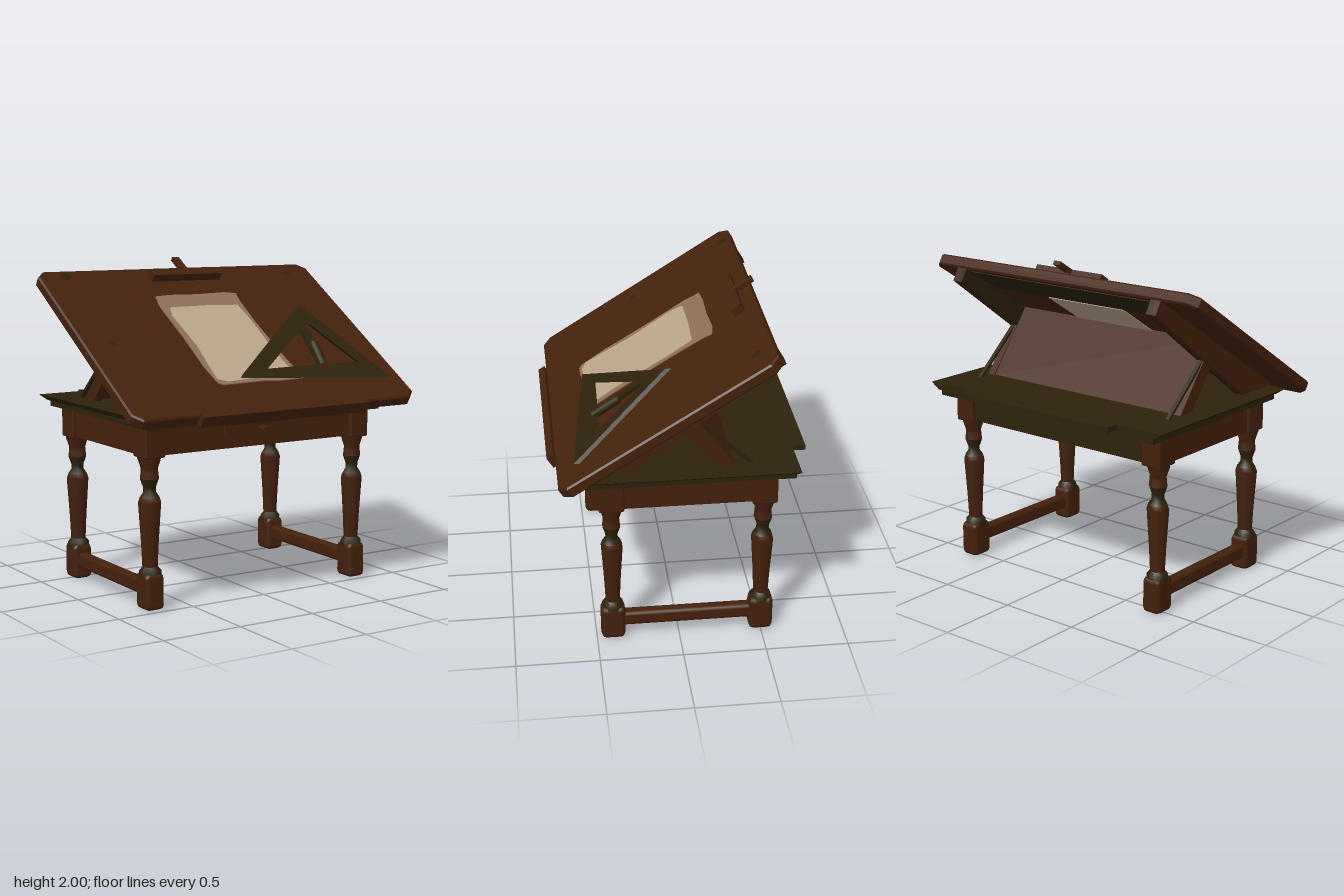
import * as THREE from 'three';
import { RoundedBoxGeometry } from 'three/addons/geometries/RoundedBoxGeometry.js';

const mat = (name, color) => {
  const m = new THREE.MeshStandardMaterial({ color });
  m.name = name;
  return m;
};

export function createModel() {
  const wood = mat('brown wood', 0x44210c);
  const olive = mat('olive wood', 0x2c220b);
  const sheet = mat('paper', 0xb9a489);
  const edge = mat('paper border', 0x8d6e58);
  const model = new THREE.Group();
  model.name = 'draftingTable';

  const add = (parent, name, geo, material, x = 0, y = 0, z = 0) => {
    const m = new THREE.Mesh(geo, material);
    m.name = name;
    m.position.set(x, y, z);
    parent.add(m);
    return m;
  };
  const box = (parent, name, material, w, h, d, x, y, z) =>
    add(parent, name, new THREE.BoxGeometry(w, h, d), material, x, y, z);
  const poly = (pts) => new THREE.Shape(pts.map(([x, y]) => new THREE.Vector2(x, y)));
  // Extrudes an outline given in (z, y) across the width
  const sidePiece = (name, pts, width, x, material) => {
    const g = new THREE.ExtrudeGeometry(poly(pts), { depth: width, bevelEnabled: false });
    g.translate(0, 0, -width / 2).rotateY(-Math.PI / 2);
    return add(model, name, g, material, x);
  };
  const turned = (pts) =>
    new THREE.LatheGeometry(pts.map(([r, y]) => new THREE.Vector2(r, y)), 8, Math.PI / 8);

  // Legs: square blocks joined by a turned shaft
  const makeLeg = (x, z) => {
    const leg = new THREE.Group();
    leg.name = 'leg';
    leg.position.set(x, 0, z);
    model.add(leg);
    add(leg, 'footBlock', new RoundedBoxGeometry(0.125, 0.22, 0.145, 1, 0.03), wood, 0, 0.115, 0);
    add(leg, 'topBlock', new RoundedBoxGeometry(0.135, 0.19, 0.15, 1, 0.01), wood, 0, 1.0, 0);
    add(leg, 'footCollar', turned([[0.066, 0.2], [0.066, 0.235], [0.045, 0.26]]), olive);
    add(leg, 'shaft', turned([[0.045, 0.25], [0.052, 0.4], [0.068, 0.64], [0.058, 0.67]]), wood);
    add(leg, 'neck', turned([[0.058, 0.67], [0.038, 0.7], [0.038, 0.73], [0.056, 0.78]]), olive);
    add(leg, 'shoulder', turned([[0.056, 0.78], [0.052, 0.815], [0.05, 0.84], [0.07, 0.9], [0.07, 0.93]]), wood);
  };
  for (const s of [1, -1]) {
    for (const z of [0.4, -0.5]) makeLeg(s * 0.735, z);
    // Stretchers and aprons on each end
    add(model, 'stretcher', new RoundedBoxGeometry(0.075, 0.09, 0.8, 1, 0.02), wood, s * 0.735, 0.125, -0.05);
    box(model, 'sideApron', wood, 0.06, 0.18, 0.8, s * 0.75, 1.005, -0.05);
    box(model, 'sideApronLining', olive, 0.008, 0.17, 0.76, s * 0.717, 1.005, -0.05);
  }
  box(model, 'frontApron', wood, 1.36, 0.18, 0.05, 0, 1.005, 0.42);
  box(model, 'frontApronLining', olive, 1.36, 0.17, 0.008, 0, 1.005, 0.392);
  box(model, 'backApron', olive, 1.36, 0.18, 0.05, 0, 1.005, -0.52);

  // Drawer front and knob
  box(model, 'drawerFront', wood, 0.52, 0.1, 0.02, 0.01, 1.03, 0.45);
  const knob = add(model, 'drawerKnob', new THREE.CylinderGeometry(0.028, 0.016, 0.08, 8), wood, 0, 1.02, 0.495);
  knob.rotation.x = Math.PI / 2;

  // Table top, narrowing towards the underside
  const top = new THREE.BoxGeometry(1.8, 0.04, 1.25);
  const tp = top.attributes.position;
  for (let i = 0; i < tp.count; i++) if (tp.getY(i) < 0) tp.setX(i, tp.getX(i) * 0.935);
  top.computeVertexNormals();
  add(model, 'tableTop', top, olive, 0, 1.14, -0.065);
  box(model, 'tableTopUnderside', olive, 1.66, 0.04, 1.22, 0, 1.105, -0.065);
  box(model, 'rearExtension', olive, 1.16, 0.03, 0.1, 0, 1.143, -0.72);

  // Rails, struts and stays below the tilted board
  const railOutline = [[-0.55, 1.875], [-0.595, 1.8], [0.286, 1.155], [0.59, 1.155], [0.55, 1.19]];
  const strutOutline = [[-0.03, 1.4], [-0.106, 1.445], [-0.33, 1.155], [-0.22, 1.155]];
  for (const s of [1, -1]) {
    sidePiece('boardRail', railOutline, 0.04, s * 0.76, wood);
    sidePiece('boardRailInner', railOutline, 0.03, s * 0.725, olive);
    sidePiece('strut', strutOutline, 0.05, s * 0.735, wood);
    sidePiece('stay', [[-0.09, 1.44], [-0.105, 1.45], [-0.435, 1.155], [-0.41, 1.155]], 0.025, s * 0.74, olive);
  }
  // Hinged panel between the struts, reaching up to the board
  sidePiece('propPanel', [[0.0, 1.54], [-0.025, 1.55], [-0.32, 1.155], [-0.29, 1.155]], 1.42, 0, wood);

  // Tilted drawing board: local y runs up the slope, local z leaves the face
  const board = new THREE.Group();
  board.name = 'drawingBoard';
  board.position.set(0, 1.525, 0.08);
  board.rotation.x = -THREE.MathUtils.degToRad(58);
  model.add(board);
  const W = 0.99, H = 0.714, c = 0.05;
  const panel = new THREE.ExtrudeGeometry(
    poly([[-W + c, -H], [W - c, -H], [W, -H + c], [W, H - c], [W - c, H], [-W + c, H], [-W, H - c], [-W, -H + c]]),
    { depth: 0.05, bevelThickness: 0.01, bevelSize: 0.01, bevelSegments: 1 });
  panel.translate(0, 0, -0.025);
  add(board, 'boardPanel', panel, wood);
  box(board, 'pencilLedge', wood, 1.17, 0.045, 0.075, 0, -0.742, 0.018);

  // Worn paper with a paler middle
  const plate = (name, pts, material, z) =>
    add(board, name, new THREE.ExtrudeGeometry(poly(pts), { depth: 0.006, bevelEnabled: false }), material, 0, 0, z);
  plate('paperBorder', [[-0.32, -0.46], [-0.29, -0.48], [0.0, -0.47], [0.1, -0.48], [0.28, -0.475], [0.265, -0.2],
    [0.26, 0.1], [0.27, 0.33], [0.285, 0.41], [0.2, 0.425], [0.0, 0.415], [-0.2, 0.42], [-0.31, 0.41],
    [-0.33, 0.3], [-0.325, 0.0], [-0.335, -0.3]], edge, 0.036);
  plate('paperSheet', [[-0.31, -0.43], [-0.25, -0.46], [-0.05, -0.445], [0.18, -0.455], [0.24, -0.43], [0.225, -0.2],
    [0.235, 0.1], [0.225, 0.28], [0.0, 0.29], [-0.27, 0.285], [-0.295, 0.2], [-0.28, -0.1], [-0.3, -0.3]],
  sheet, 0.04);

  // Darker lining and paper on the underside
  box(board, 'boardLining', olive, 1.4, 0.26, 0.006, 0, 0.55, -0.036);
  box(board, 'paperBack', sheet, 0.58, 0.9, 0.006, -0.03, -0.02, -0.04);

  // Wood knots
  for (const [x, y, r] of [[-0.82, -0.02, 0.025], [0.8, 0.61, 0.028], [-0.82, 0.66, 0.04]])
    add(board, 'knot', new THREE.CircleGeometry(r, 8), olive, x, y, 0.037);

  // Clamp at the upper edge
  box(board, 'clampBar', wood, 0.5, 0.07, 0.05, 0, 0.605, 0.063);
  box(board, 'clampPeg', wood, 0.05, 0.13, 0.025, 0, 0.695, 0.076);

  // Set square: a flat outline sheared on to its own sloping plane
  const slopeZ = (x, y) => 0.485 + 0.05 * (x + 0.15) - 1.274 * (y - 1.335);
  const tri = poly([[-0.15, 1.335], [0.87, 1.285], [0.575, 1.705]]);
  for (const hole of [
    [[0.04, 1.37], [0.46, 1.575], [0.425, 1.375]],
    [[0.545, 1.6], [0.715, 1.375], [0.485, 1.375], [0.52, 1.59]],
  ]) tri.holes.push(new THREE.Path(hole.map(([x, y]) => new THREE.Vector2(x, y))));
  const square = new THREE.ExtrudeGeometry(tri, { depth: 0.035, bevelEnabled: false });
  const sp = square.attributes.position;
  for (let i = 0; i < sp.count; i++) sp.setZ(i, sp.getZ(i) - 0.02 + slopeZ(sp.getX(i), sp.getY(i)));
  square.computeVertexNormals();
  add(model, 'setSquare', square, olive);
  // Thicker grip on the crossbar of the set square
  const grip = new THREE.LineCurve3(
    new THREE.Vector3(0.455, 1.37, slopeZ(0.455, 1.37)), new THREE.Vector3(0.49, 1.49, slopeZ(0.49, 1.49)));
  add(model, 'setSquareGrip', new THREE.TubeGeometry(grip, 1, 0.028, 8), olive);

  return model;
}
